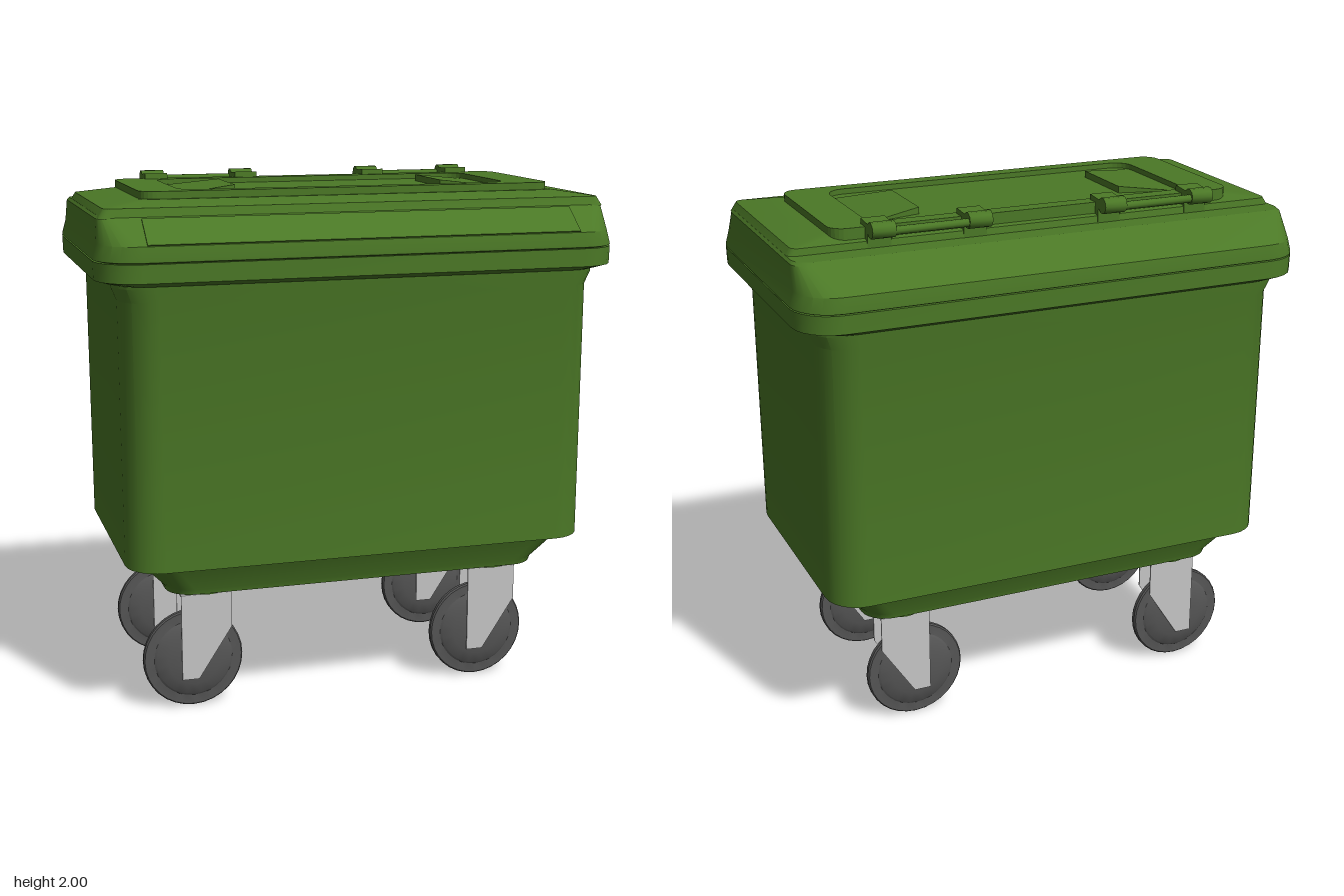
import * as THREE from 'three';
import { toCreasedNormals } from 'three/addons/utils/BufferGeometryUtils.js';

const SEG = 6; // segments per rounded corner

// Rounded rectangle ring at height y, between z0 and z1
function ring([y, hx, z0, z1, r]) {
  const pts = [], cz = (z0 + z1) / 2, hz = (z1 - z0) / 2;
  for (let q = 0; q < 4; q++) {
    const sx = q === 0 || q === 3 ? 1 : -1, sz = q < 2 ? 1 : -1;
    for (let i = 0; i <= SEG; i++) {
      const a = (q + i / SEG) * Math.PI / 2;
      pts.push([sx * (hx - r) + Math.cos(a) * r, y, cz + sz * (hz - r) + Math.sin(a) * r]);
    }
  }
  return pts;
}

// Closed solid through a stack of rings, bottom to top
function loft(sections) {
  const rings = sections.map(ring), n = rings[0].length, pos = [];
  const tri = (a, b, c) => pos.push(...a, ...b, ...c);
  const mid = s => [0, s[0], (s[2] + s[3]) / 2];
  const low = mid(sections[0]), high = mid(sections[sections.length - 1]);
  for (let i = 0; i < n; i++) {
    const j = (i + 1) % n, top = rings[rings.length - 1];
    for (let k = 0; k + 1 < rings.length; k++) {
      const a = rings[k], b = rings[k + 1];
      tri(a[i], b[i], a[j]);
      tri(a[j], b[i], b[j]);
    }
    tri(low, rings[0][i], rings[0][j]);
    tri(high, top[j], top[i]);
  }
  const g = new THREE.BufferGeometry();
  g.setAttribute('position', new THREE.Float32BufferAttribute(pos, 3));
  return toCreasedNormals(g, 0.45);
}

// Flat rounded rectangle outline for the raised lid frame
function roundedOutline(target, hx, hz, r) {
  ring([0, hx, -hz, hz, r]).forEach(([x, , z], i) => i ? target.lineTo(x, z) : target.moveTo(x, z));
  target.closePath();
  return target;
}

export function createModel() {
  const model = new THREE.Group();
  const mat = (name, color) => Object.assign(new THREE.MeshStandardMaterial({ color }), { name });
  const green = mat('green plastic', 0x4b7826);
  const rubber = mat('dark grey rubber', 0x555555);
  const steel = mat('light grey steel', 0xc6c6c6);
  steel.side = THREE.DoubleSide;

  const add = (parent, name, geo, material, x = 0, y = 0, z = 0) => {
    const m = new THREE.Mesh(geo, material);
    m.name = name;
    m.position.set(x, y, z);
    parent.add(m);
    return m;
  };
  const sym = (y, hx, hz, r) => [y, hx, -hz, hz, r];

  // Container with tapered foot and flared neck
  add(model, 'body', loft([
    sym(0.485, 0.735, 0.415, 0.1), sym(0.505, 0.74, 0.42, 0.1),
    sym(0.612, 0.84, 0.475, 0.12), sym(0.613, 0.895, 0.522, 0.13),
    sym(1.6, 0.897, 0.522, 0.13), sym(1.65, 0.918, 0.535, 0.14), sym(1.7, 0.918, 0.535, 0.14),
  ]), green);
  add(model, 'rim', loft([
    sym(1.662, 0.925, 0.54, 0.14), sym(1.678, 0.98, 0.57, 0.15), sym(1.745, 0.982, 0.57, 0.15),
  ]), green);

  // Lid: skirt, sloping front and back, raised upper tier
  add(model, 'lid', loft([
    sym(1.74, 0.955, 0.545, 0.13), sym(1.75, 0.982, 0.57, 0.15), sym(1.76, 0.98, 0.57, 0.15),
    sym(1.805, 0.967, 0.562, 0.14), sym(1.89, 0.963, 0.445, 0.06), sym(1.9, 0.955, 0.43, 0.06),
  ]), green);
  add(model, 'lidUpperTier', loft([
    [1.89, 0.96, -0.34, 0.44, 0.03], [1.925, 0.94, -0.335, 0.43, 0.03],
    [1.945, 0.8, -0.26, 0.33, 0.03],
  ]), green);
  const slope = add(model, 'frontSlopePanel', new THREE.BoxGeometry(1.62, 0.008, 0.138), green, 0, 1.848, 0.504);
  slope.rotation.x = Math.atan2(0.085, 0.117);

  // Raised frame around the sunken centre of the lid
  const frame = roundedOutline(new THREE.Shape(), 0.79, 0.315, 0.06);
  frame.holes.push(roundedOutline(new THREE.Path(), 0.635, 0.255, 0.07));
  const frameGeo = new THREE.ExtrudeGeometry(frame, { depth: 0.055, bevelEnabled: false });
  frameGeo.rotateX(Math.PI / 2);
  add(model, 'lidFrame', frameGeo, green, 0, 1.972, 0);
  add(model, 'lidCentre', new THREE.BoxGeometry(1.3, 0.02, 0.54), green, 0, 1.942, 0);

  for (const side of [-1, 1]) {
    // Ramps rising towards the middle of the lid
    const ramp = new THREE.BoxGeometry(0.23, 0.02, 0.4);
    const p = ramp.attributes.position;
    for (let i = 0; i < p.count; i++) {
      const inner = p.getX(i) * side < 0;
      p.setZ(i, Math.sign(p.getZ(i)) * (inner ? 0.145 : 0.205));
      if (p.getY(i) > 0) p.setY(i, inner ? 0.022 : -0.004);
    }
    const flatRamp = ramp.toNonIndexed();
    flatRamp.computeVertexNormals();
    add(model, 'lidRamp', flatRamp, green, side * 0.52, 1.955, 0);

    // Hinge: two knuckles joined by a rod
    const hinge = new THREE.Group();
    hinge.name = 'hinge';
    hinge.position.set(side * 0.445, 0, 0);
    model.add(hinge);
    for (const end of [-1, 1]) {
      const x = end * 0.18;
      const knuckle = new THREE.CylinderGeometry(0.03, 0.03, 0.088, 10).rotateZ(Math.PI / 2);
      add(hinge, 'hingeKnuckle', toCreasedNormals(knuckle, 0.7), green, x, 1.97, -0.37);
      const arm = add(hinge, 'hingeArm', new THREE.BoxGeometry(0.088, 0.035, 0.09), green, x, 1.972, -0.315);
      arm.rotation.x = -0.08;
      add(hinge, 'hingeFoot', new THREE.BoxGeometry(0.088, 0.06, 0.03), green, x, 1.93, -0.325);
    }
    const rod = new THREE.CylinderGeometry(0.015, 0.015, 0.29, 10).rotateZ(Math.PI / 2);
    add(hinge, 'hingeRod', rod, green, 0, 1.965, -0.38);
  }

  // Swivel castors, all trailing towards -x
  const half = [[0.001, 0.038], [0.05, 0.037], [0.1, 0.031], [0.145, 0.02], [0.152, 0.014], [0.188, 0.014], [0.193, 0.008]];
  const profile = [...half.map(([r, h]) => [r, -h]), ...half.slice().reverse()].map(([r, h]) => new THREE.Vector2(r, h));
  const wheelGeo = toCreasedNormals(new THREE.LatheGeometry(profile, 32).rotateX(Math.PI / 2), 0.5);
  const cheek = new THREE.Shape([[-0.1, 0.455], [-0.1, 0.12], [-0.035, 0.12], [0.095, 0.32], [0.095, 0.455]]
    .map(([x, y]) => new THREE.Vector2(x, y)));
  const cheekGeo = new THREE.ExtrudeGeometry(cheek, { depth: 0.005, bevelEnabled: false });
  for (const x of [-0.58, 0.577]) {
    for (const z of [-0.313, 0.295]) {
      const castor = new THREE.Group();
      castor.name = 'castor';
      castor.position.set(x, 0, z);
      model.add(castor);
      add(castor, 'castorMount', new THREE.CylinderGeometry(0.06, 0.075, 0.022, 24), green, 0, 0.476, 0);
      add(castor, 'castorStem', new THREE.CylinderGeometry(0.03, 0.03, 0.02, 16), steel, 0, 0.46, 0);
      add(castor, 'forkTop', new THREE.BoxGeometry(0.195, 0.006, 0.096), steel, -0.0025, 0.456, 0);
      for (const s of [-1, 1]) add(castor, 'forkCheek', cheekGeo, steel, 0, 0, s * 0.0455 - 0.0025);
      add(castor, 'axle', new THREE.CylinderGeometry(0.012, 0.012, 0.09, 12).rotateX(Math.PI / 2), steel, -0.05, 0.2, 0);
      add(castor, 'wheel', wheelGeo, rubber, -0.05, 0.195, 0);
    }
  }
  return model;
}
